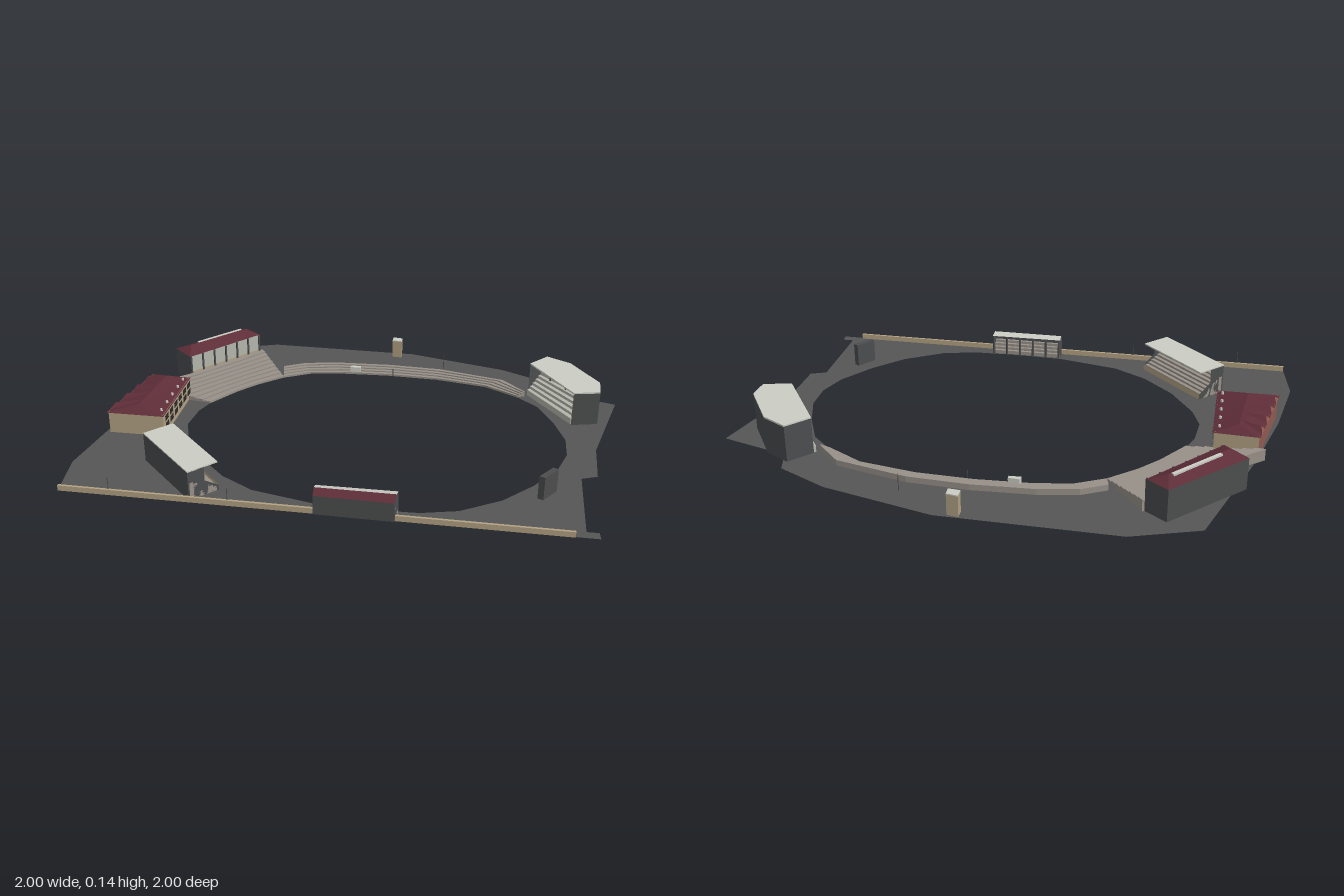
import * as THREE from 'three';

const mat = (name, color) => {
  const m = new THREE.MeshStandardMaterial({ color, side: THREE.DoubleSide, flatShading: true });
  m.name = name;
  return m;
};

export function createModel() {
  const root = new THREE.Group();
  root.name = 'sportsGround';
  const M = {
    ground: mat('asphalt grey', 0x555555),
    wall: mat('dark cladding', 0x4c4d4e),
    maroon: mat('maroon tile', 0x5e2d38),
    white: mat('pale roof', 0xcbccc3),
    cream: mat('cream render', 0xb3a284),
    brick: mat('terracotta brick', 0x8f5a4f),
    terrace: mat('taupe concrete', 0x979088),
    seat: mat('pale seating', 0xb4b5ac),
    dark: mat('dark opening', 0x2c2a2a),
  };

  // ---- helpers: points on plan are [x, z] ----
  const at = ([x, z], y) => [x, y, z];
  const mix = (a, b, t) => a.map((v, i) => v + (b[i] - v) * t);

  // Mesh from convex polygons
  function faces(name, material, polys, parent = root) {
    const pos = [];
    for (const p of polys)
      for (let i = 1; i < p.length - 1; i++) pos.push(...p[0], ...p[i], ...p[i + 1]);
    const g = new THREE.BufferGeometry();
    g.setAttribute('position', new THREE.Float32BufferAttribute(pos, 3));
    g.computeVertexNormals();
    const m = new THREE.Mesh(g, material);
    m.name = name;
    parent.add(m);
    return m;
  }
  // Upright panel between two plan points
  const panel = (a, b, y0, y1) => [at(a, y0), at(b, y0), at(b, y1), at(a, y1)];
  const chain = (pts, y0, y1) => pts.slice(1).map((p, i) => panel(pts[i], p, y0, y1));
  // Closed prism on a plan outline
  function prism(name, material, pts, y0, y1, parent) {
    return faces(name, material, [...chain([...pts, pts[0]], y0, y1),
      pts.map(p => at(p, y1)), pts.map(p => at(p, y0))], parent);
  }
  // Stepped seating between two matching plan lines
  function tiers(name, material, inner, outer, n, y0, y1, parent) {
    const polys = [];
    const line = t => inner.map((p, i) => mix(p, outer[i], t));
    for (let s = 0; s < n; s++) {
      const a = line(s / n), b = line((s + 1) / n);
      const lo = s ? y0 + (y1 - y0) * (s - 1) / (n - 1) : 0, hi = y0 + (y1 - y0) * s / (n - 1);
      polys.push(...chain(a, lo, hi));
      for (let i = 0; i < a.length - 1; i++)
        polys.push([at(a[i], hi), at(a[i + 1], hi), at(b[i + 1], hi), at(b[i], hi)]);
      for (const e of [0, a.length - 1]) polys.push(panel(a[e], b[e], 0, hi));
    }
    polys.push(...chain(outer, 0, y1));
    return faces(name, material, polys, parent);
  }
  // Hipped roof: c0-c3 and c1-c2 are the long eaves, ridge runs r0 to r1
  function hipRoof(name, c, r0, r1, eave, ridge, parent) {
    const [a, b, d, e] = c.map(p => at(p, eave)), p = at(r0, ridge), q = at(r1, ridge);
    return faces(name, M.maroon, [[a, b, p], [b, d, q, p], [d, e, q], [e, a, p, q], [a, b, d, e]], parent);
  }
  // Row of upright posts
  function posts(name, material, a, b, n, y0, y1, w, parent) {
    for (let i = 0; i < n; i++) {
      const [x, z] = mix(a, b, i / (n - 1));
      const m = new THREE.Mesh(new THREE.BoxGeometry(w, y1 - y0, w), material);
      m.position.set(x, (y0 + y1) / 2, z);
      m.name = name;
      parent.add(m);
    }
  }
  const group = name => {
    const g = new THREE.Group();
    g.name = name;
    root.add(g);
    return g;
  };

  // ---- ground ring with oval field opening ----
  const outline = [[-1, -.08], [-.89, -.29], [-.45, -.69], [-.1, -.88], [.09, -.935], [.14, -.905], [.22, -.91],
    [.4, -1], [.6, -.66], [.73, -.52], [.705, -.465], [.94, -.225], [.97, -.253], [.997, -.23], [-.33, .995],
    [-.48, .87], [-.64, .63], [-.79, .36]];
  const oval = [[.12, -.745], [-.03, -.71], [-.2, -.6], [-.35, -.47], [-.48, -.335], [-.56, -.23], [-.597, -.12],
    [-.607, 0], [-.603, .1], [-.58, .24], [-.55, .31], [-.48, .4], [-.39, .45], [-.23, .495], [-.07, .503],
    [.07, .475], [.27, .36], [.4, .25], [.53, .12], [.6, .01], [.64, -.15], [.637, -.3], [.61, -.45],
    [.56, -.55], [.48, -.63], [.36, -.695], [.23, -.745]];
  const v2 = p => new THREE.Vector2(p[0], -p[1]);
  const shape = new THREE.Shape(outline.map(v2));
  shape.holes.push(new THREE.Path(oval.map(v2)));
  const ground = new THREE.Mesh(new THREE.ShapeGeometry(shape).rotateX(-Math.PI / 2), M.ground);
  ground.name = 'ground';
  ground.position.y = 0.001;
  root.add(ground);

  // Boundary wall on the straight side
  prism('boundaryWall', M.cream, [[-.33, .995], [.94, -.175], [.934, -.182], [-.336, .988]], 0, .02);

  // ---- curved terrace and fan of seating ----
  tiers('curvedTerrace', M.terrace, oval.slice(0, 7),
    [[.13, -.775], [0, -.78], [-.23, -.65], [-.39, -.515], [-.54, -.36], [-.62, -.25], [-.65, -.16]], 4, .008, .022);
  tiers('fanSeating', M.terrace, oval.slice(6, 10),
    [[-.81, -.16], [-.795, 0], [-.785, .2], [-.8, .39]], 8, .008, .042);
  prism('sightPlatform', M.white, [[-.47, -.375], [-.44, -.4], [-.43, -.39], [-.46, -.36]], .01, .03);

  // ---- west pavilion ----
  const pav = group('westPavilion');
  const pc = [[-.9, -.14], [-.81, -.15], [-.79, .2], [-.9, .2]];
  faces('pavilionWalls', M.wall, chain([pc[1], pc[0], pc[3], pc[2]], 0, .112), pav);
  const pf = [[-.812, -.148], [-.793, .198]];
  faces('pavilionBase', M.cream, [panel(...pf, 0, .045)], pav);
  faces('pavilionFacade', M.seat, [panel(...pf, .045, .112)], pav);
  posts('pavilionColumn', M.wall, [-.808, -.143], [-.79, .195], 7, .04, .112, .006, pav);
  hipRoof('pavilionRoof', pc, [-.855, -.1], [-.848, .16], .112, .134, pav);
  prism('skylight', M.white, [[-.868, -.09], [-.856, -.09], [-.85, .12], [-.862, .12]], .126, .135, pav);

  // ---- south-west clubhouse ----
  const club = group('clubhouse');
  const cc = [[-.79, .37], [-.67, .27], [-.44, .52], [-.6, .67]];
  const inset = cc.map(p => mix(p, [-.625, .457], .05));
  faces('clubBrickWall', M.brick, [panel(inset[3], inset[0], 0, .088)], club);
  faces('clubCreamWalls', M.cream, chain([inset[0], inset[1], inset[2], inset[3]], 0, .088), club);
  const openings = [], shift = ([x, z]) => [x + .004, z - .004];
  for (const [y0, y1] of [[.028, .05], [.058, .08]])
    for (let i = 0; i < 6; i++) {
      const a = mix(inset[1], inset[2], (i + .15) / 6), b = mix(inset[1], inset[2], (i + .85) / 6);
      openings.push(panel(shift(a), shift(b), y0, y1));
    }
  faces('clubOpenings', M.dark, openings, club);
  const r0 = [-.705, .355], r1 = [-.55, .56];
  hipRoof('clubRoof', cc, r0, r1, .085, .106, club);
  // Cross gables on the outer slope
  const gables = [], fronts = [];
  for (const t of [.14, .38, .62, .86]) {
    const tip = at(mix(mix(cc[0], cc[3], t), mix(r0, r1, t), .1), .103), end = at(mix(r0, r1, t), .107);
    const [l, r] = [t - .065, t + .065].map(u => at(mix(cc[0], cc[3], u), .085));
    gables.push([l, tip, end], [r, end, tip]);
    fronts.push([l, r, tip]);
  }
  faces('clubGables', M.maroon, gables, club);
  faces('gableFronts', M.brick, fronts, club);
  posts('clubChimney', M.white, [-.66, .31], [-.48, .505], 5, .09, .099, .007, club);

  // ---- south stand, open towards the field ----
  const south = group('southStand');
  const [sb0, sb1, sf1, sf0] = [[-.33, .66], [0, .677], [0, .56], [-.33, .54]];
  faces('southBackWall', M.wall, [panel(sb0, sb1, 0, .107)], south);
  faces('southSideWalls', M.wall, [[sb0, sf0], [sb1, sf1]].map(([b, f]) => {
    const m = mix(b, f, .55);
    return [at(b, 0), at(f, 0), at(f, .02), at(m, .055), at(m, .107), at(b, .107)];
  }), south);
  tiers('southSeats', M.terrace, [mix(sf0, sb0, .06), mix(sf1, sb1, .06)], [mix(sf0, sb0, .95), mix(sf1, sb1, .95)],
    7, .02, .065, south);
  faces('southFrontWall', M.cream, [panel(sf0, sf1, 0, .022)], south);
  prism('southRoof', M.white, [sb0, sb1, sf1, sf0], .106, .111, south);

  // ---- north-east stand ----
  const north = group('northStand');
  const nc = [[.125, -.8], [.12, -.9], [.22, -.925], [.41, -.88], [.465, -.82], [.41, -.735]];
  faces('northWalls', M.wall, chain(nc, 0, .13), north);
  tiers('northSeats', M.seat, [[.128, -.79], [.405, -.738]], [[.125, -.893], [.41, -.872]], 7, .025, .09, north);
  posts('northPost', M.wall, [.19, -.85], [.37, -.83], 3, .05, .13, .005, north);
  prism('northRoof', M.white, nc, .129, .135, north);

  // ---- east stand by the boundary wall ----
  const east = group('eastStand');
  const [eA, eB, eC, eD] = [[.32, .4], [.52, .22], [.48, .17], [.28, .36]];
  const m0 = mix(eA, eD, .5), m1 = mix(eB, eC, .5);
  faces('eastWalls', M.wall, chain([eD, eA, eB, eC], 0, .07), east);
  faces('eastGables', M.wall, [[at(eA, .07), at(eD, .07), at(eD, .078), at(m0, .086)],
    [at(eB, .07), at(eC, .07), at(eC, .078), at(m1, .086)]], east);
  faces('eastOuterRoof', M.maroon, [[at(eA, .07), at(eB, .07), at(m1, .086), at(m0, .086)]], east);
  faces('eastInnerRoof', M.white, [[at(eD, .078), at(eC, .078), at(m1, .086), at(m0, .086)]], east);
  tiers('eastSeats', M.terrace, [mix(eD, eA, .1), mix(eC, eB, .1)], [mix(eD, eA, .9), mix(eC, eB, .9)], 4, .015, .045, east);
  posts('eastPost', M.wall, mix(eD, eC, .02), mix(eD, eC, .98), 6, 0, .078, .006, east);

  // ---- small structures ----
  prism('scoreboard', M.wall, [[.69, -.33], [.71, -.335], [.722, -.258], [.702, -.25]], 0, .087);
  const hut = [[-.508, -.63], [-.475, -.652], [-.453, -.63], [-.485, -.606]];
  prism('hut', M.cream, hut, 0, .072);
  prism('hutRoof', M.white, hut, .072, .076);
  for (const [x, z, h] of [[-.2, .87, .065], [.1, .59, .065], [-.26, -.695, .06], [-.33, -.48, .035]]) {
    const pole = new THREE.Mesh(new THREE.CylinderGeometry(.0015, .0015, h, 6), M.wall);
    pole.position.set(x, h / 2, z);
    pole.name = 'pole';
    root.add(pole);
  }
  return root;
}
